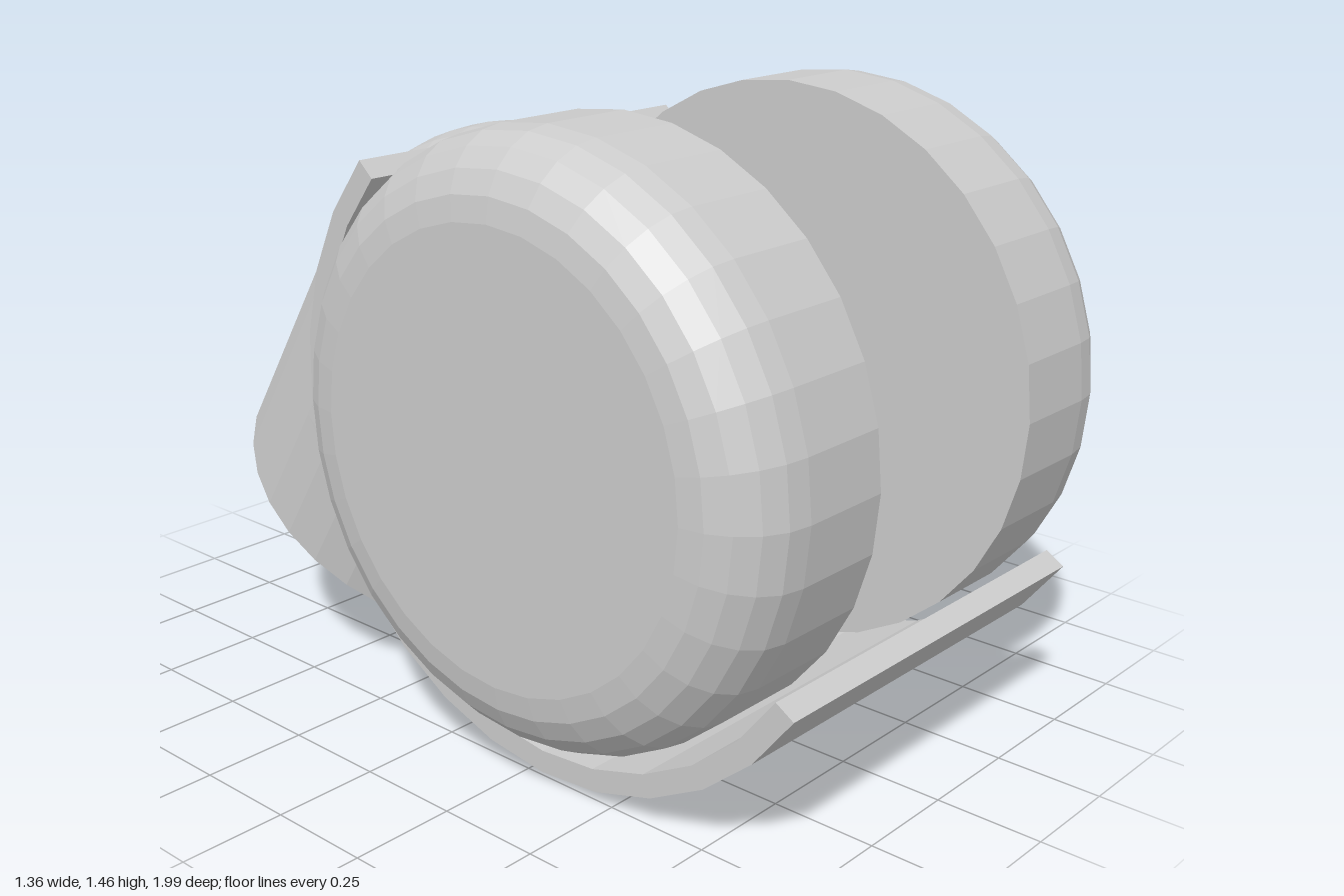
import * as THREE from 'three';

const WHEEL_Y = 0.79, WHEEL_Z = 0.33;

export function createModel() {
  const model = new THREE.Group();
  model.name = 'twinWheelCaster';
  const material = new THREE.MeshStandardMaterial({ color: 0xcccccc, flatShading: true });

  function add(parent, name, geometry, y = 0, z = 0) {
    const mesh = new THREE.Mesh(geometry, material);
    mesh.name = name;
    mesh.position.set(0, y, z);
    parent.add(mesh);
    return mesh;
  }

  // Wheels: flat inner face, rounded outer shoulder
  const radius = 0.67, bevel = 0.175;
  const profile = [new THREE.Vector2(0, 0.28), new THREE.Vector2(radius, 0.28)];
  for (let i = 0; i <= 5; i++) {
    const t = (i / 5) * Math.PI / 2;
    profile.push(new THREE.Vector2(radius - bevel + bevel * Math.cos(t), 0.505 + bevel * Math.sin(t)));
  }
  profile.push(new THREE.Vector2(0, 0.68));
  for (const side of [1, -1]) {
    const wheel = new THREE.LatheGeometry(profile, 32);
    wheel.rotateZ(-side * Math.PI / 2);
    add(model, side > 0 ? 'leftWheel' : 'rightWheel', wheel, WHEEL_Y, WHEEL_Z);
  }

  // Fender: curved strip wrapping under and behind the wheels
  const inner = 0.717, outer = 0.77, steps = 16;
  const start = -32 * Math.PI / 180, end = -223 * Math.PI / 180;
  const outline = [];
  for (let i = 0; i <= steps; i++) {
    const a = start + (end - start) * i / steps;
    outline.push(new THREE.Vector2(outer * Math.cos(a), outer * Math.sin(a)));
  }
  for (let i = steps; i >= 0; i--) {
    const a = start + (end - start) * i / steps;
    outline.push(new THREE.Vector2(inner * Math.cos(a), inner * Math.sin(a)));
  }
  const fender = new THREE.ExtrudeGeometry(new THREE.Shape(outline), { depth: 1.03, bevelEnabled: false });
  fender.translate(0, 0, -0.515);
  fender.rotateY(-Math.PI / 2);
  add(model, 'fender', fender, WHEEL_Y, WHEEL_Z);

  // Tilted swivel housing and stem share one axis
  const swivel = new THREE.Group();
  swivel.name = 'swivel';
  swivel.position.set(0, 0.35, -0.56);
  swivel.rotation.x = 0.561;
  model.add(swivel);

  // Housing: domed cylinder whose sections are cut back to the fender's curve
  const R = 0.51, shoulder = 0.555, cutR = 0.745, cutY = 0.846, cutZ = 0.52;
  const sectionRadius = y => y < shoulder ? R : Math.sqrt(Math.max(0, R * R - (y - shoulder) ** 2));
  const rows = [new THREE.Vector2(0, 0), new THREE.Vector2(R, 0)];
  for (let i = 0; i <= 30; i++) {
    const y = cutY - cutR * Math.cos(1.805 * i / 30);
    rows.push(new THREE.Vector2(sectionRadius(y), y));
  }
  const housing = new THREE.LatheGeometry(rows, 32);
  const p = housing.attributes.position;
  for (let i = 0; i < p.count; i++) {
    const y = p.getY(i), d = y - cutY;
    if (Math.abs(d) >= cutR) continue;
    const limit = cutZ - Math.sqrt(cutR * cutR - d * d);
    if (p.getZ(i) <= limit) continue;
    const half = Math.sqrt(Math.max(0, sectionRadius(y) ** 2 - limit * limit));
    p.setZ(i, limit);
    p.setX(i, THREE.MathUtils.clamp(p.getX(i), -half, half));
  }
  housing.computeVertexNormals();
  add(swivel, 'housing', housing);

  // Mounting stem
  add(swivel, 'stem', new THREE.CylinderGeometry(0.177, 0.177, 0.32, 32), -0.14);

  return model;
}
